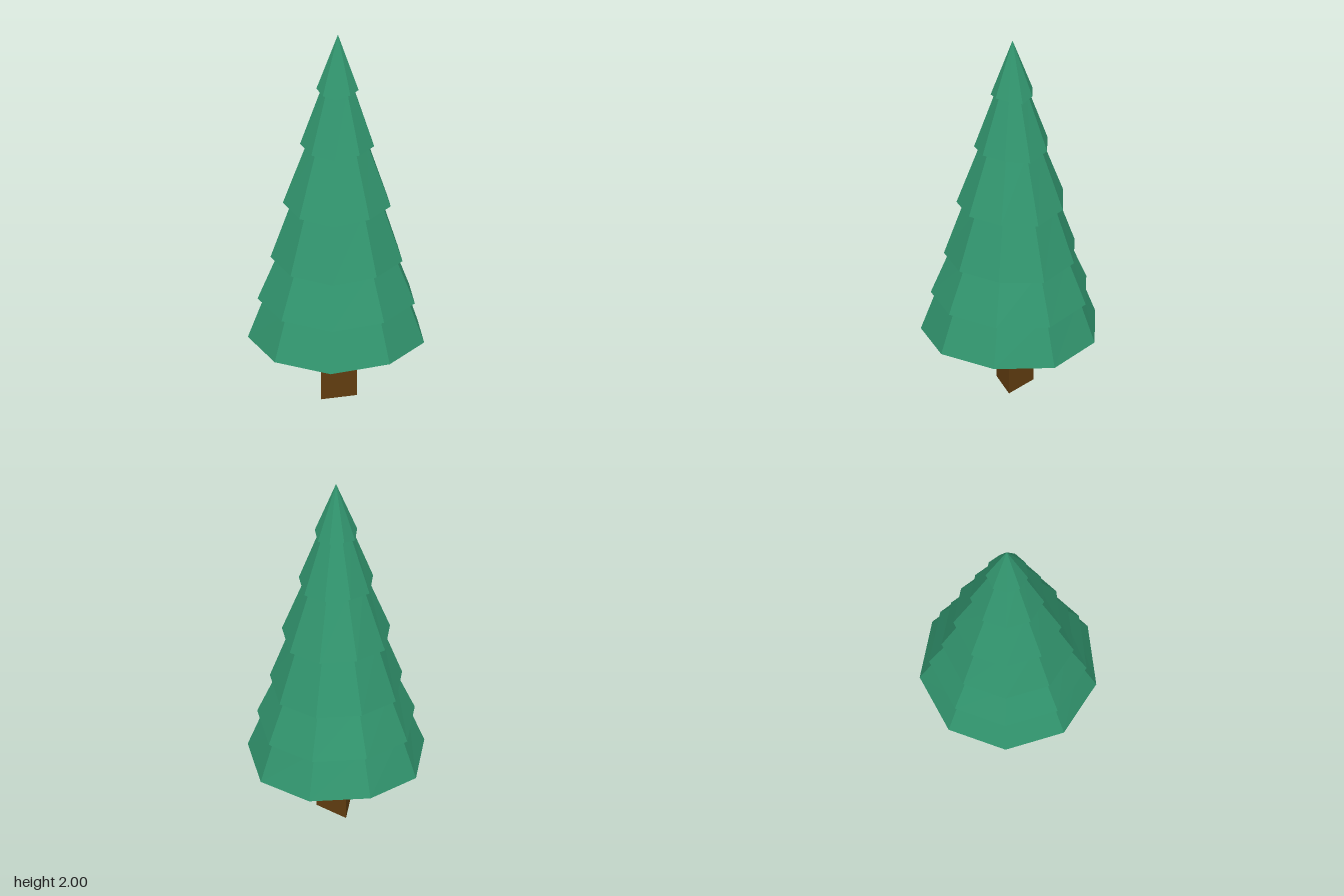
import * as THREE from 'three';

const SIDES = 9;

// Slight unevenness of each rim corner, starting at the back and going round by +x
const RIM_DROP = [0, 0.01, 0.024, 0.002, 0.004, 0.02, 0.012, 0, 0.022];

// Tiers from bottom to top: rim height and radius, upper height and radius
const TIERS = [
  [0.34, 0.454, 0.57, 0.367],
  [0.552, 0.405, 0.8, 0.3],
  [0.78, 0.34, 1.09, 0.23],
  [1.078, 0.278, 1.41, 0.155],
  [1.403, 0.191, 1.71, 0.082],
  [1.706, 0.109, 2, 0],
];

// The tree leans very slightly; this is its centre line
const centre = (y) => [0.004 * y, 0.015 - 0.005 * y];

function corner(i, radius, y, drop) {
  const a = (i * Math.PI * 2) / SIDES;
  const [cx, cz] = centre(y);
  return [cx + radius * Math.sin(a), y - drop, cz - radius * Math.cos(a)];
}

// Open nine-sided skirt of branches; the last one closes to a point
function makeTier([y0, r0, y1, r1]) {
  const points = [];
  for (let i = 0; i < SIDES; i++) {
    const j = (i + 1) % SIDES;
    const a = corner(i, r0, y0, RIM_DROP[i]);
    const b = corner(j, r0, y0, RIM_DROP[j]);
    const c = corner(j, r1, y1, 0);
    const d = corner(i, r1, y1, 0);
    points.push(...a, ...d, ...b);
    if (r1 > 0) points.push(...b, ...d, ...c);
  }
  const geometry = new THREE.BufferGeometry();
  geometry.setAttribute('position', new THREE.Float32BufferAttribute(points, 3));
  geometry.computeVertexNormals();
  return geometry;
}

export function createModel() {
  const foliage = new THREE.MeshStandardMaterial({ color: 0x32966f, flatShading: true, side: THREE.DoubleSide });
  foliage.name = 'foliage green';
  const bark = new THREE.MeshStandardMaterial({ color: 0x613d10, flatShading: true });
  bark.name = 'bark brown';

  const tree = new THREE.Group();
  tree.name = 'pineTree';

  // Three-sided trunk with a flat face to the front
  const trunk = new THREE.Mesh(new THREE.CylinderGeometry(0.109, 0.109, 0.41, 3), bark);
  trunk.name = 'trunk';
  trunk.rotation.y = Math.PI;
  trunk.position.y = 0.205;
  tree.add(trunk);

  // Stacked skirts of branches
  const branches = new THREE.Group();
  branches.name = 'branches';
  TIERS.forEach((tier, i) => {
    const mesh = new THREE.Mesh(makeTier(tier), foliage);
    mesh.name = i === TIERS.length - 1 ? 'treeTop' : `branchTier${i + 1}`;
    branches.add(mesh);
  });
  tree.add(branches);
  return tree;
}
